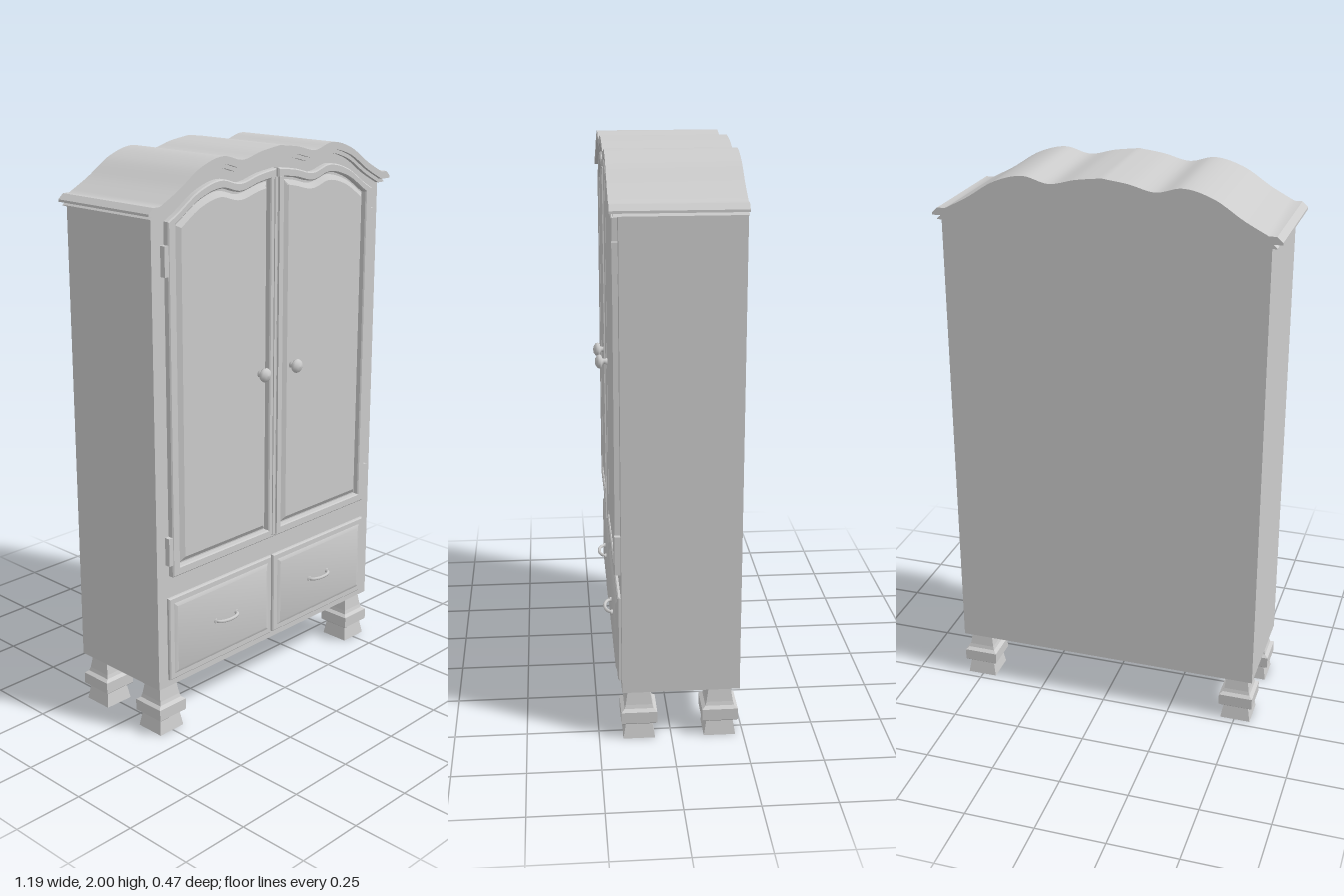
import * as THREE from 'three';
import { toCreasedNormals } from 'three/addons/utils/BufferGeometryUtils.js';

const grey = new THREE.MeshStandardMaterial({ color: 0xcccccc });
const FRONT = 0.17, BACK = -0.235;

// Scalloped top line, right half; mirrored through |x|
const scallop = new THREE.CatmullRomCurve3([
  [0, 2.0], [0.09, 1.988], [0.18, 1.968], [0.27, 1.988], [0.37, 1.962],
  [0.47, 1.9], [0.55, 1.858],
].map(([x, y]) => new THREE.Vector3(x, y, 0))).getPoints(48);

function topY(x) {
  const ax = Math.abs(x);
  for (let i = 1; i < scallop.length; i++) {
    const a = scallop[i - 1], b = scallop[i];
    if (ax <= b.x) return a.y + (b.y - a.y) * (ax - a.x) / (b.x - a.x);
  }
  return scallop[scallop.length - 1].y;
}

// Points along the scallop from x0 to x1, lowered by drop
function topLine(x0, x1, drop, n = 32) {
  return Array.from({ length: n + 1 }, (_, i) => {
    const x = x0 + (x1 - x0) * i / n;
    return new THREE.Vector2(x, topY(x) - drop);
  });
}

// Panel outline with straight sides and a scalloped top
function archPoints(x0, x1, y0, drop) {
  return [new THREE.Vector2(x0, y0), new THREE.Vector2(x1, y0), ...topLine(x1, x0, drop)];
}

function rectPoints(x0, x1, y0, y1) {
  return [[x0, y0], [x1, y0], [x1, y1], [x0, y1]].map(p => new THREE.Vector2(...p));
}

function mesh(name, geometry, parent) {
  const m = new THREE.Mesh(geometry, grey);
  m.name = name;
  parent.add(m);
  return m;
}

// Slab between z0 and z1, optionally with a hole and a front bevel
function slab(name, points, z0, z1, parent, { hole, bevel = 0, rise = bevel } = {}) {
  const shape = new THREE.Shape(points);
  if (hole) shape.holes.push(new THREE.Path(hole));
  const geo = new THREE.ExtrudeGeometry(shape, {
    depth: z1 - z0 - rise, bevelEnabled: bevel > 0, bevelSize: bevel,
    bevelThickness: rise, bevelOffset: -bevel, bevelSegments: 1,
  });
  geo.translate(0, 0, z0);
  return mesh(name, toCreasedNormals(geo, 0.5), parent);
}

// Band following the scallop with a stepped lip at each end
function crownBand(name, z1, drop, thick, endX, parent) {
  const pts = [
    ...topLine(-0.55, 0.55, drop, 72),
    new THREE.Vector2(endX - 0.02, 1.858 - drop),
    new THREE.Vector2(endX, 1.84 - drop),
    new THREE.Vector2(endX, 1.858 - drop - thick),
    ...topLine(0.55, -0.55, drop + thick, 72),
    new THREE.Vector2(-endX, 1.858 - drop - thick),
    new THREE.Vector2(-endX, 1.84 - drop),
    new THREE.Vector2(-endX + 0.02, 1.858 - drop),
  ];
  slab(name, pts, BACK, z1, parent);
}

function addDoor(s, parent) {
  const door = new THREE.Group();
  door.name = s > 0 ? 'leftDoor' : 'rightDoor';
  parent.add(door);
  const arch = (a, b, y, d) => s > 0 ? archPoints(a, b, y, d) : archPoints(-b, -a, y, d);
  slab('doorFrame', arch(0.004, 0.508, 0.595, 0.075), FRONT - 0.005, 0.192, door,
    { hole: arch(0.034, 0.474, 0.627, 0.105), bevel: 0.004 });
  slab('doorPanel', arch(0.042, 0.466, 0.635, 0.114), FRONT - 0.02, 0.188, door,
    { bevel: 0.018, rise: 0.012 });
  // Raised strip beside the meeting edge
  const strip = mesh('doorStrip', new THREE.BoxGeometry(0.012, 1.29, 0.006), door);
  strip.position.set(s * 0.011, 1.25, 0.193);
  // Hinges
  for (const y of [0.69, 1.68]) {
    const h = mesh('hinge', new THREE.BoxGeometry(0.02, 0.1, 0.022), door);
    h.position.set(s * 0.514, y, 0.179);
  }
  // Turned knob
  const profile = [[0, 0], [0.012, 0], [0.009, 0.012], [0.011, 0.018], [0.023, 0.022],
    [0.025, 0.029], [0.022, 0.036], [0.012, 0.043], [0, 0.045]];
  const knob = mesh('knob', new THREE.LatheGeometry(
    profile.map(p => new THREE.Vector2(...p)), 20), door);
  knob.rotation.x = Math.PI / 2;
  knob.position.set(s * 0.082, 1.225, 0.187);
}

function addDrawer(s, parent) {
  const drawer = new THREE.Group();
  drawer.name = s > 0 ? 'leftDrawer' : 'rightDrawer';
  parent.add(drawer);
  const rect = (a, b, y0, y1) => s > 0 ? rectPoints(a, b, y0, y1) : rectPoints(-b, -a, y0, y1);
  slab('drawerFront', rect(0.004, 0.52, 0.206, 0.515), FRONT - 0.005, 0.182, drawer,
    { bevel: 0.004 });
  slab('drawerPanel', rect(0.024, 0.5, 0.226, 0.495), FRONT, 0.188, drawer,
    { bevel: 0.014, rise: 0.007 });
  // Bowed pull handle
  const bow = new THREE.CatmullRomCurve3([
    [-0.052, 0.184], [-0.046, 0.2], [-0.025, 0.211], [0, 0.214],
    [0.025, 0.211], [0.046, 0.2], [0.052, 0.184],
  ].map(([x, z]) => new THREE.Vector3(x, 0, z)));
  const pull = mesh('pull', new THREE.TubeGeometry(bow, 24, 0.006, 8), drawer);
  pull.position.set(s * 0.25, 0.36, 0);
  for (const e of [-1, 1]) {
    const boss = mesh('pullBoss', new THREE.CylinderGeometry(0.009, 0.009, 0.008, 12), drawer);
    boss.rotation.x = Math.PI / 2;
    boss.position.set(s * 0.25 + e * 0.052, 0.36, 0.19);
  }
}

// Square stepped foot, hollowed underneath
function footGeometry() {
  const profile = [[0, 0.045], [0.048, 0.004], [0.055, 0], [0.046, 0.052], [0.055, 0.056],
    [0.062, 0.062], [0.062, 0.103], [0.05, 0.112], [0.046, 0.125], [0.037, 0.182], [0, 0.182]];
  const geo = new THREE.LatheGeometry(
    profile.map(([r, y]) => new THREE.Vector2(r * Math.SQRT2, y)), 4);
  geo.rotateY(Math.PI / 4);
  return toCreasedNormals(geo, 0.1);
}

export function createModel() {
  const model = new THREE.Group();
  model.name = 'wardrobe';

  // Carcass
  slab('body', [new THREE.Vector2(-0.563, 0.18), new THREE.Vector2(0.563, 0.18),
    new THREE.Vector2(0.563, 1.83), ...topLine(0.55, -0.55, 0.02, 72),
    new THREE.Vector2(-0.563, 1.83)], BACK, FRONT, model);

  // Crown and the smaller moulding beneath it
  crownBand('crown', 0.2, 0, 0.026, 0.597, model);
  crownBand('crownMoulding', 0.186, 0.02, 0.02, 0.58, model);

  for (const s of [-1, 1]) {
    addDoor(s, model);
    addDrawer(s, model);
  }

  // Feet
  const foot = footGeometry();
  for (const x of [-0.503, 0.503]) {
    for (const z of [0.112, -0.168]) {
      const f = mesh(z > 0 ? 'frontFoot' : 'backFoot', foot, model);
      f.position.set(x, 0, z);
    }
  }
  return model;
}
